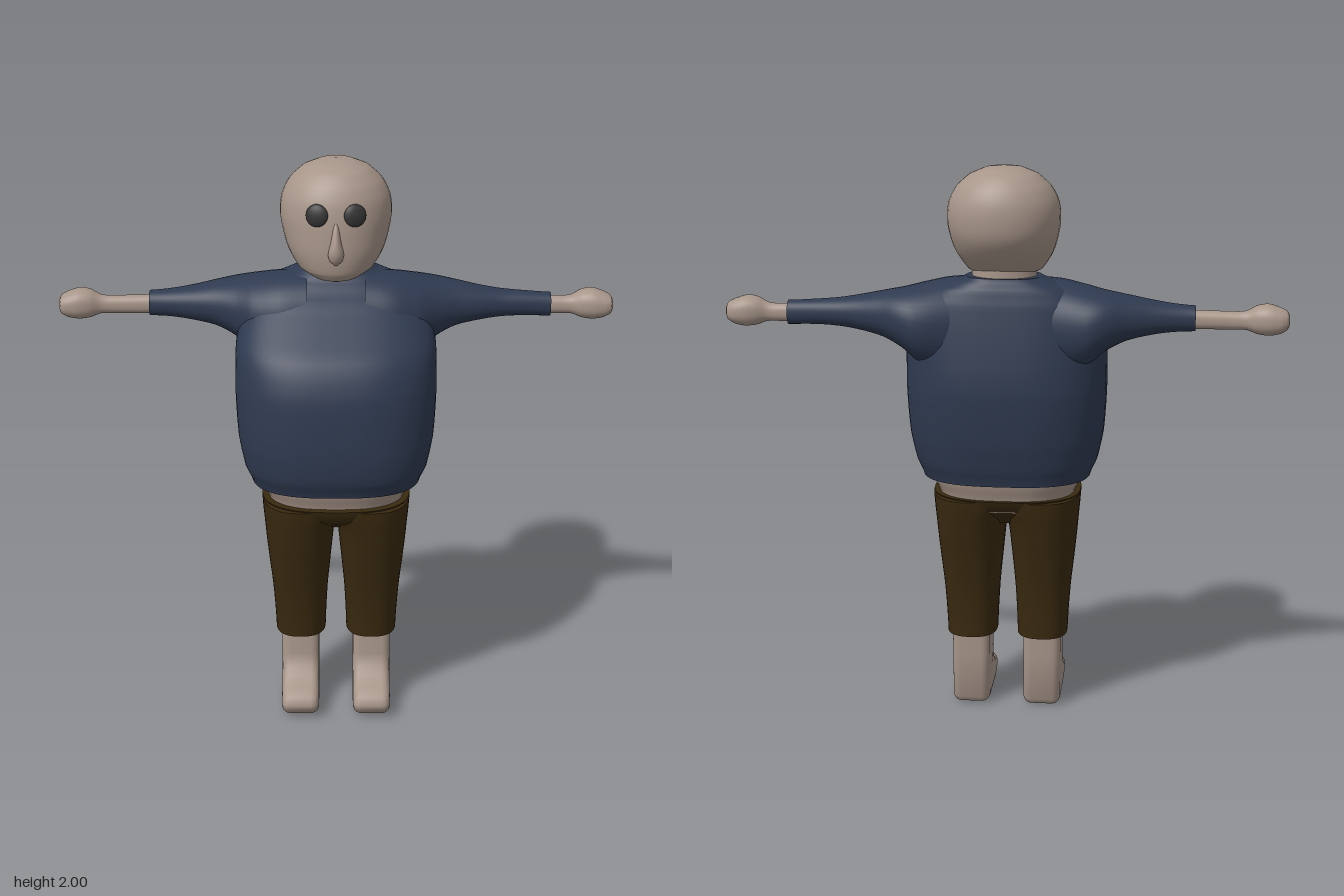
import * as THREE from 'three';
import { toCreasedNormals } from 'three/addons/utils/BufferGeometryUtils.js';

const paint = (color) => new THREE.MeshStandardMaterial({ color, side: THREE.DoubleSide });

// Smooth loft through rounded sections [t, uMin, uMax, vMin, vMax].
// Axis 'y': u = x, v = z.  Axis 'x': u = z, v = y.
function loft(axis, sections, power = 2, steps = 4, sides = 40) {
  const rows = [];
  const at = (i) => sections[Math.min(Math.max(i, 0), sections.length - 1)];
  for (let i = 0; i < sections.length - 1; i++) {
    for (let s = 0; s < steps; s++) {
      const f = s / steps;
      rows.push(at(i).map((b, k) => {
        const a = at(i - 1)[k], c = at(i + 1)[k], d = at(i + 2)[k];
        if (k === 0) return b + (c - b) * f;
        return b + 0.5 * f * (c - a + f * (2 * a - 5 * b + 4 * c - d + f * (3 * (b - c) + d - a)));
      }));
    }
  }
  rows.push(at(sections.length - 1));
  const pos = [], index = [];
  const put = (t, u, v) => (axis === 'y' ? pos.push(u, t, v) : pos.push(t, v, u));
  const ring = ([t, u0, u1, v0, v1]) => {
    for (let j = 0; j < sides; j++) {
      const a = (j / sides) * Math.PI * 2, c = Math.cos(a), s = Math.sin(a);
      put(t, (u0 + u1) / 2 + ((u1 - u0) / 2) * Math.sign(c) * Math.abs(c) ** (2 / power),
        (v0 + v1) / 2 + ((v1 - v0) / 2) * Math.sign(s) * Math.abs(s) ** (2 / power));
    }
  };
  rows.forEach(ring);
  for (let i = 0; i < rows.length - 1; i++) {
    for (let j = 0; j < sides; j++) {
      const a = i * sides + j, b = i * sides + ((j + 1) % sides);
      index.push(a, a + sides, b, b, a + sides, b + sides);
    }
  }
  // End caps with their own vertices, so the rims stay sharp
  [rows[0], rows[rows.length - 1]].forEach((row, end) => {
    const base = pos.length / 3;
    ring(row);
    put(row[0], (row[1] + row[2]) / 2, (row[3] + row[4]) / 2);
    for (let j = 0; j < sides; j++) {
      const a = base + j, b = base + ((j + 1) % sides);
      if (end) index.push(base + sides, b, a);
      else index.push(base + sides, a, b);
    }
  });
  const geo = new THREE.BufferGeometry();
  geo.setAttribute('position', new THREE.Float32BufferAttribute(pos, 3));
  geo.setIndex(index);
  geo.computeVertexNormals();
  return geo;
}

// Sections for the other side of the body
const mirrorAlong = (list) => list.map(([t, ...r]) => [-t, ...r]).reverse();
const mirrorAcross = (list) => list.map(([t, a, b, c, d]) => [t, -b, -a, c, d]);

export function createModel() {
  const model = new THREE.Group();
  const skin = paint(0xa8968a), cloth = paint(0x2f3a50), brown = paint(0x3a2a10), dark = paint(0x333333);
  const add = (name, geo, mat) => {
    const mesh = new THREE.Mesh(geo, mat);
    mesh.name = name;
    model.add(mesh);
    return mesh;
  };

  // Head and neck
  add('head', loft('y', [
    [1.603, -0.03, 0.03, -0.02, 0.04], [1.612, -0.08, 0.08, -0.12, 0.065],
    [1.64, -0.13, 0.13, -0.19, 0.082], [1.70, -0.167, 0.167, -0.255, 0.09],
    [1.76, -0.186, 0.186, -0.297, 0.089], [1.82, -0.195, 0.195, -0.31, 0.084],
    [1.88, -0.188, 0.188, -0.307, 0.073], [1.93, -0.162, 0.162, -0.288, 0.05],
    [1.97, -0.118, 0.118, -0.252, 0.012], [1.992, -0.065, 0.065, -0.2, -0.04],
    [2.0, -0.004, 0.004, -0.124, -0.116],
  ], 2.1), skin);
  add('neck', loft('y', [
    [1.5, -0.13, 0.13, -0.2, 0.0], [1.6, -0.115, 0.115, -0.2, -0.005], [1.68, -0.11, 0.11, -0.2, 0.0],
  ]), skin);

  // Face
  for (const side of [1, -1]) {
    const eye = add(side > 0 ? 'leftEye' : 'rightEye', new THREE.SphereGeometry(0.039, 24, 16), dark);
    eye.scale.z = 0.4;
    eye.position.set(side * 0.065, 1.845, 0.07);
    eye.rotation.set(-0.15, side * 0.25, 0);
  }
  add('nose', loft('y', [
    [1.675, -0.008, 0.008, 0.06, 0.095], [1.69, -0.022, 0.022, 0.06, 0.108],
    [1.715, -0.027, 0.027, 0.06, 0.116], [1.75, -0.019, 0.019, 0.06, 0.113],
    [1.80, -0.011, 0.011, 0.06, 0.097], [1.83, -0.005, 0.005, 0.06, 0.08],
  ], 2, 3, 20), skin);

  // Shirt body
  add('shirt', loft('y', [
    [0.89, -0.30, 0.30, -0.22, 0.275], [0.95, -0.325, 0.325, -0.24, 0.30],
    [1.05, -0.345, 0.345, -0.263, 0.31], [1.2, -0.354, 0.354, -0.28, 0.302],
    [1.28, -0.354, 0.354, -0.279, 0.287], [1.37, -0.352, 0.352, -0.268, 0.245],
    [1.45, -0.335, 0.335, -0.255, 0.16], [1.53, -0.3, 0.3, -0.24, 0.075],
    [1.58, -0.235, 0.235, -0.226, 0.02], [1.605, -0.17, 0.17, -0.215, -0.002],
    [1.622, -0.13, 0.13, -0.208, -0.012],
  ], 2.7, 4, 56), cloth);

  // Sleeves, the right one a little shorter
  const sleeve = [
    [0.1, -0.22, 0.09, 1.27, 1.61], [0.2, -0.245, 0.09, 1.28, 1.605],
    [0.29, -0.262, 0.06, 1.31, 1.588], [0.35, -0.25, 0.015, 1.365, 1.575],
    [0.42, -0.215, -0.02, 1.402, 1.562], [0.5, -0.185, -0.04, 1.422, 1.546],
    [0.58, -0.165, -0.058, 1.434, 1.533], [0.66, -0.154, -0.067, 1.438, 1.526],
    [0.76, -0.146, -0.073, 1.436, 1.52],
  ];
  add('leftSleeve', loft('x', sleeve, 2.2), cloth);
  add('rightSleeve', loft('x', mirrorAlong(sleeve.slice(0, -1)), 2.2), cloth);

  // Forearms and mitten hands
  const hand = [
    [0.6, -0.14, -0.08, 1.445, 1.512], [0.8, -0.138, -0.08, 1.446, 1.508],
    [0.835, -0.142, -0.075, 1.445, 1.512], [0.87, -0.158, -0.058, 1.433, 1.53],
    [0.91, -0.166, -0.05, 1.428, 1.535], [0.95, -0.162, -0.052, 1.435, 1.523],
    [0.972, -0.15, -0.06, 1.448, 1.512], [0.98, -0.13, -0.08, 1.463, 1.497],
  ];
  add('leftHand', loft('x', hand, 2.4), skin);
  add('rightHand', loft('x', mirrorAlong(hand), 2.4), skin);

  // Bare waist
  add('waist', loft('y', [
    [0.78, -0.235, 0.235, -0.165, 0.215], [0.83, -0.245, 0.245, -0.175, 0.225],
    [0.87, -0.265, 0.265, -0.19, 0.24], [0.93, -0.285, 0.285, -0.205, 0.255],
  ], 2.6), skin);

  // Trousers
  add('trouserHips', loft('y', [
    [0.72, -0.12, 0.12, -0.09, 0.14], [0.77, -0.235, 0.235, -0.155, 0.22],
    [0.825, -0.265, 0.265, -0.19, 0.25],
  ], 2.6), brown);
  const trouserLeg = [
    [0.28, 0.038, 0.22, -0.09, 0.14], [0.45, 0.03, 0.23, -0.105, 0.163],
    [0.6, 0.016, 0.246, -0.135, 0.198], [0.72, 0.002, 0.257, -0.165, 0.227],
    [0.82, -0.03, 0.265, -0.188, 0.248],
  ];
  add('leftTrouserLeg', loft('y', trouserLeg, 2.5), brown);
  add('rightTrouserLeg', loft('y', mirrorAcross(trouserLeg), 2.5), brown);

  // Lower legs with feet: a rounded side profile, drawn as (-z, y)
  const profile = new THREE.Shape([
    [0.066, 0.33], [0.06, 0.2], [0.053, 0.03], [0.04, 0.01], [0, 0.004], [-0.19, 0.004],
    [-0.24, 0.018], [-0.266, 0.045], [-0.272, 0.065], [-0.255, 0.09], [-0.2, 0.102],
    [-0.155, 0.13], [-0.127, 0.15], [-0.12, 0.2], [-0.115, 0.33],
  ].map(([a, b]) => new THREE.Vector2(a, b)).reverse());
  const bevel = 0.03, width = 0.136;
  const foot = toCreasedNormals(new THREE.ExtrudeGeometry(profile, {
    depth: width - 2 * bevel, bevelSize: bevel, bevelThickness: bevel, bevelOffset: -bevel, bevelSegments: 5,
  }).translate(0, 0, bevel - width / 2).rotateY(Math.PI / 2), 0.9);
  for (const side of [1, -1]) {
    add(side > 0 ? 'leftFoot' : 'rightFoot', foot, skin).position.x = side * 0.13;
  }
  return model;
}
